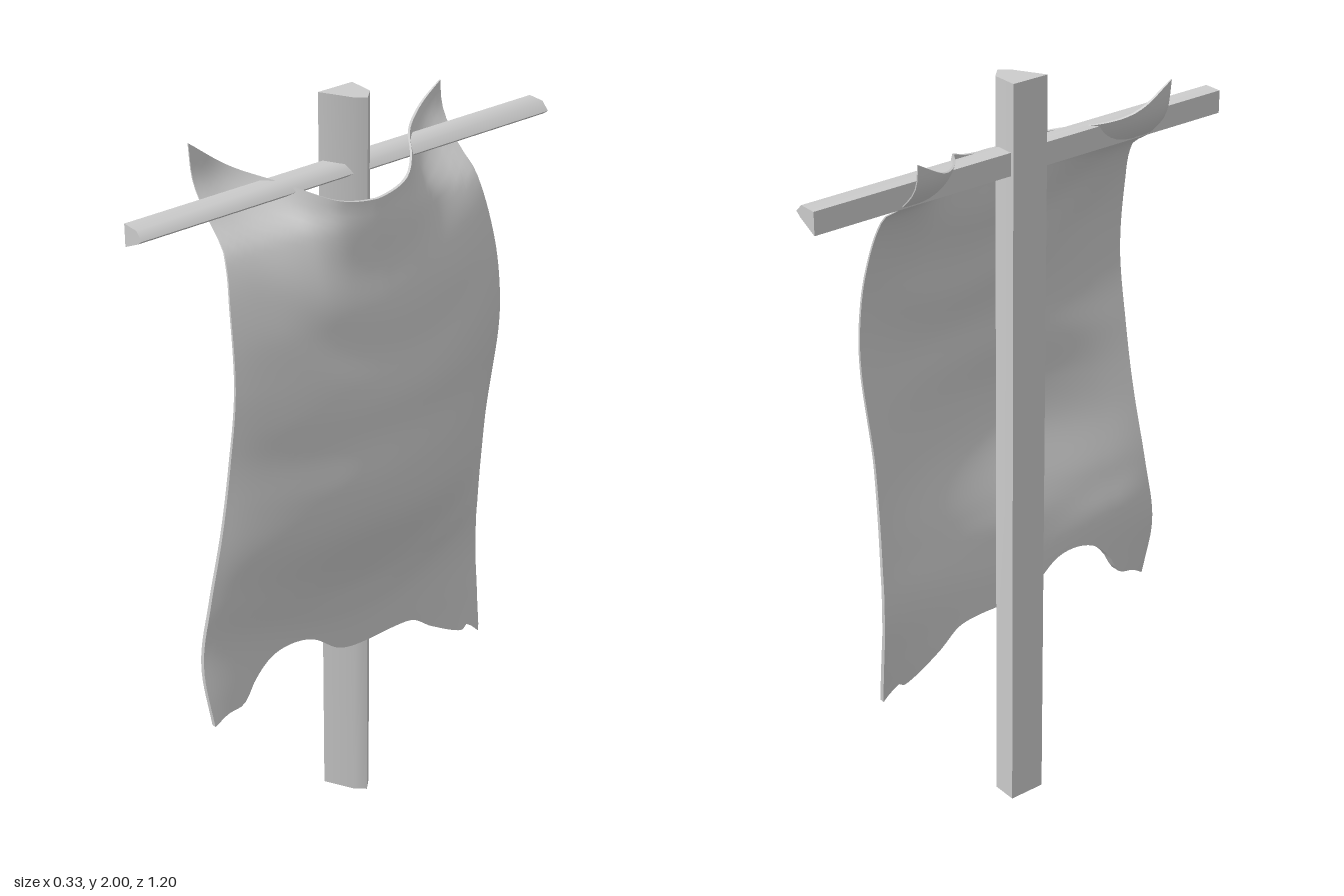
import * as THREE from 'three';
import { toCreasedNormals } from 'three/addons/utils/BufferGeometryUtils.js';

// Smooth lookup through [position, value] pairs sorted by position
function lookup(pts, t) {
  const n = pts.length;
  if (t <= pts[0][0]) return pts[0][1];
  if (t >= pts[n - 1][0]) return pts[n - 1][1];
  let i = 0;
  while (t > pts[i + 1][0]) i++;
  const slope = (k) => {
    const a = pts[Math.max(k - 1, 0)], b = pts[Math.min(k + 1, n - 1)];
    return (b[1] - a[1]) / (b[0] - a[0]);
  };
  const h = pts[i + 1][0] - pts[i][0], u = (t - pts[i][0]) / h;
  const u2 = u * u, u3 = u2 * u;
  return (2 * u3 - 3 * u2 + 1) * pts[i][1] + (u3 - 2 * u2 + u) * h * slope(i)
    + (3 * u2 - 2 * u3) * pts[i + 1][1] + (u3 - u2) * h * slope(i + 1);
}

// Side edges of the cloth: z by height
const leftEdge = [[0.45, 0.48], [0.6, 0.49], [0.8, 0.47], [1.1, 0.44], [1.4, 0.42], [1.6, 0.41], [1.7, 0.392], [1.77, 0.375], [1.93, 0.37]];
const rightEdge = [[0.38, -0.375], [0.65, -0.39], [0.75, -0.385], [1.05, -0.37], [1.3, -0.385], [1.5, -0.38], [1.72, -0.36], [1.9, -0.37]];
// Top and bottom hems: height by z
const topHem = [[-0.37, 1.905], [-0.28, 1.855], [-0.17, 1.83], [-0.09, 1.79], [0, 1.778], [0.09, 1.79], [0.17, 1.82], [0.27, 1.86], [0.37, 1.935]];
const bottomHem = [[-0.375, 0.385], [-0.33, 0.425], [-0.31, 0.415], [-0.2, 0.475], [-0.14, 0.52], [-0.08, 0.53], [0.05, 0.53], [0.11, 0.545],
  [0.18, 0.6], [0.24, 0.615], [0.3, 0.6], [0.35, 0.55], [0.39, 0.49], [0.44, 0.475], [0.48, 0.45]];
// Depth (x) by height along the middle and along the sides
const middleDepth = [[0.5, 0.028], [0.7, 0.042], [0.8, 0.078], [0.95, 0.137], [1.08, 0.15], [1.2, 0.143], [1.3, 0.145], [1.45, 0.124], [1.6, 0.098], [1.77, 0.066]];
const sideDepth = [[0.4, 0.025], [0.5, 0.008], [0.65, -0.012], [0.8, 0.002], [1, 0.03], [1.2, 0.05], [1.4, 0.064], [1.6, 0.04],
  [1.72, -0.01], [1.77, -0.08], [1.84, -0.145], [1.93, -0.165]];
// Share of the middle depth across the tight top hem, by |z|
const hemShare = [[0, 1], [0.1, 0.88], [0.15, 0.67], [0.2, 0.35], [0.25, 0.14], [0.3, 0.03], [0.37, 0]];

function clothPoint(s, v, side, out) {
  // s runs from -1 (right edge) to 1 (left edge), v from 0 (bottom) to 1 (top)
  const k = (s + 1) / 2;
  const yTop = lookup(topHem, s * 0.37);
  const yBottom = lookup(bottomHem, THREE.MathUtils.lerp(-0.375, 0.48, k));
  const y = THREE.MathUtils.lerp(yBottom, yTop, v);
  const z = THREE.MathUtils.lerp(lookup(rightEdge, y), lookup(leftEdge, y), k);
  const tight = THREE.MathUtils.smoothstep(y, 1.5, 1.8);
  const share = THREE.MathUtils.lerp(1 - s * s, lookup(hemShare, Math.abs(z)), tight);
  let x = THREE.MathUtils.lerp(lookup(sideDepth, y), lookup(middleDepth, y), share);
  // Shallow sagging folds, and a soft swell towards the left
  const fold = (height, centre, sag, width, depth) => {
    const d = (y - height - sag * (z - centre) ** 2) / width;
    return depth * Math.exp(-d * d) * (1 - s * s);
  };
  x += fold(1.62, 0, 1.5, 0.07, -0.008) + fold(1.4, -0.05, 1.5, 0.07, -0.008) + fold(0.7, 0.05, 0.6, 0.05, 0.006);
  x += 0.008 * Math.exp(-(((y - 1.07) / 0.12) ** 2) - ((z - 0.1) / 0.12) ** 2);
  // Thin top hem, thicker bottom hem, narrowed side edges
  const thickness = THREE.MathUtils.lerp(0.03, 0.008, v) * (1 - 0.55 * s ** 8);
  out.set(x + side * thickness, y, z);
}

function prism(points, length) {
  const shape = new THREE.Shape(points.map(([x, y]) => new THREE.Vector2(x, y)));
  const geometry = new THREE.ExtrudeGeometry(shape, { depth: length, bevelEnabled: false });
  return toCreasedNormals(geometry, 1.45);
}

export function createModel() {
  const group = new THREE.Group();
  const material = new THREE.MeshStandardMaterial({ color: 0xcccccc });
  const add = (name, geometry) => {
    const mesh = new THREE.Mesh(geometry, material);
    mesh.name = name;
    group.add(mesh);
  };

  // Upright pole, roughly hewn five-sided section
  const pole = prism([[-0.097, -0.05], [-0.02, -0.005], [0, 0.02], [-0.03, 0.05], [-0.097, 0.05]], 2);
  add('pole', pole.rotateX(-Math.PI / 2));

  // Crossbar, a thinner piece of the same section
  const bar = prism([[-0.088, 1.772], [-0.036, 1.798], [-0.02, 1.81], [-0.04, 1.83], [-0.088, 1.83]], 1.2);
  add('crossbar', bar.translate(0, 0, -0.6));

  // Hanging cloth: a thin slab draped by the profiles above
  const cloth = new THREE.BoxGeometry(1, 1, 2, 1, 70, 56);
  const pos = cloth.attributes.position, p = new THREE.Vector3();
  for (let i = 0; i < pos.count; i++) {
    clothPoint(pos.getZ(i), pos.getY(i) + 0.5, pos.getX(i), p);
    pos.setXYZ(i, p.x, p.y, p.z);
  }
  cloth.computeVertexNormals();
  add('cloth', cloth);

  return group;
}
